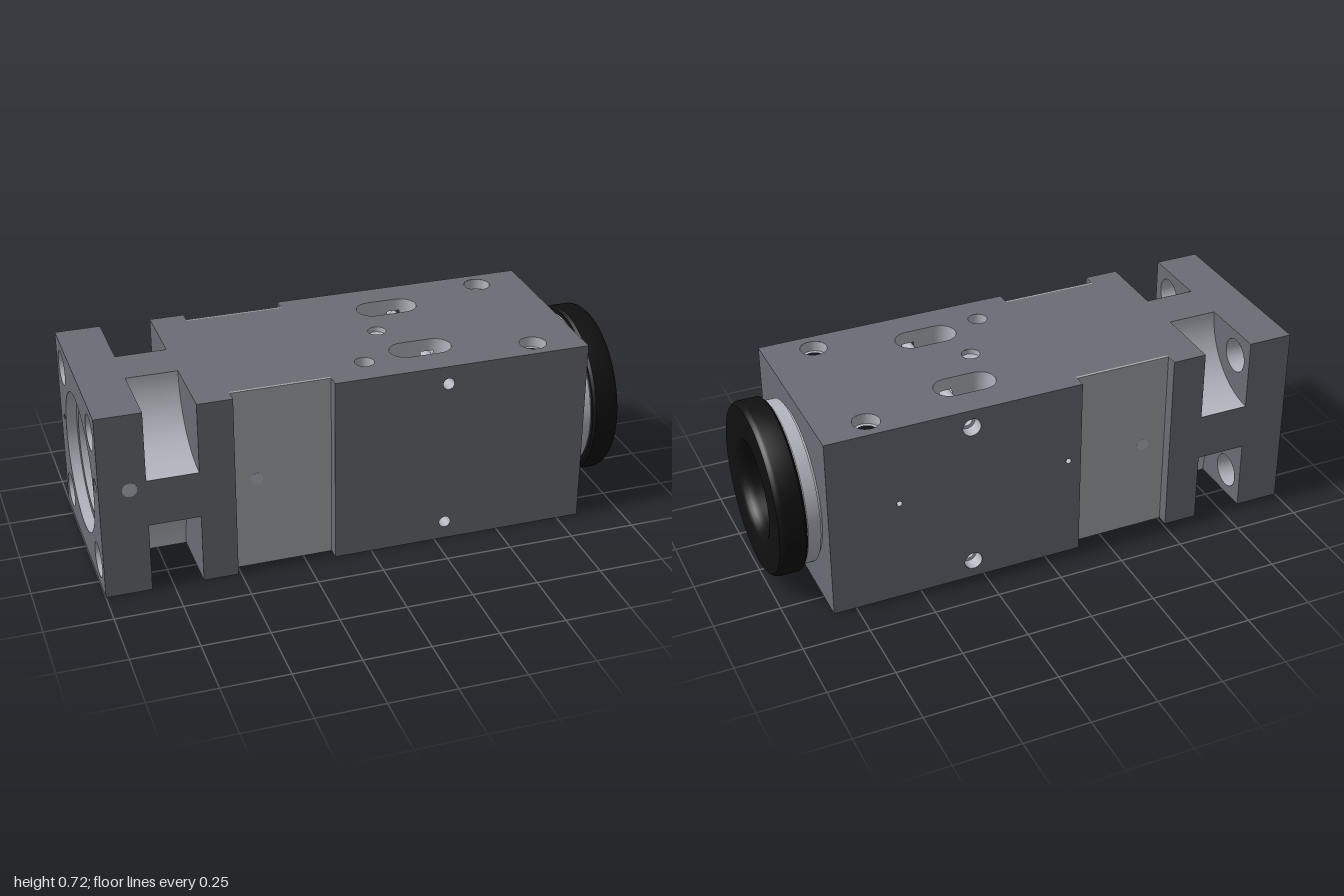
import * as THREE from 'three';
import { toCreasedNormals } from 'three/addons/utils/BufferGeometryUtils.js';

const H = 0.36, BORE = 0.225, FRONT = 0.835, STEP = -0.14;
const SLOT = { x: 0.2425, v: 0.185, r: 0.06, half: 0.0575 };
const CROSS = { x: 0.29, v: 0.29, r: 0.022 };

const mat = (color, side = THREE.FrontSide) => new THREE.MeshStandardMaterial({ color, side });
const dark = mat(0x6a6d75), darkThin = mat(0x6a6d75, THREE.DoubleSide);
const metal = mat(0xb4b7c0), metalThin = mat(0xb4b7c0, THREE.DoubleSide);
const pale = mat(0xa5abad), black = mat(0x101010), blackThin = mat(0x101010, THREE.DoubleSide);

function add(parent, name, geo, material) {
  const mesh = new THREE.Mesh(geo, material);
  mesh.name = name;
  parent.add(mesh);
  return mesh;
}

function rect(x0, x1, y0, y1) {
  return new THREE.Shape([[x0, y0], [x1, y0], [x1, y1], [x0, y1]].map(p => new THREE.Vector2(...p)));
}

function punch(shape, x, y, r) {
  shape.holes.push(new THREE.Path().absarc(x, y, r, 0, Math.PI * 2, true));
  return shape;
}

// Cross-section extruded along x
function slab(parent, name, shape, x0, x1) {
  const geo = new THREE.ExtrudeGeometry(shape, { depth: x1 - x0, bevelEnabled: false, curveSegments: 48 });
  geo.rotateY(Math.PI / 2).translate(x0, 0, 0);
  return add(parent, name, toCreasedNormals(geo, 0.5), dark);
}

// Open tube along x
function liner(parent, name, r, x0, x1, y = 0, z = 0) {
  const geo = new THREE.CylinderGeometry(r, r, x1 - x0, 48, 1, true).rotateZ(Math.PI / 2);
  add(parent, name, geo, metalThin).position.set((x0 + x1) / 2, y, z);
}

// Surface made of separate quads, each given by four corners
function quads(list) {
  const pos = [];
  for (const [a, b, c, d] of list) pos.push(...a, ...b, ...c, ...a, ...c, ...d);
  const geo = new THREE.BufferGeometry();
  geo.setAttribute('position', new THREE.Float32BufferAttribute(pos, 3));
  geo.computeVertexNormals();
  return toCreasedNormals(geo, 0.5);
}

// Rounded slot outline
function slotOutline(v) {
  const pts = [];
  for (const s of [1, -1]) {
    for (let i = 0; i <= 12; i++) {
      const a = -Math.PI / 2 + Math.PI * i / 12;
      pts.push(new THREE.Vector2(SLOT.x + s * (SLOT.half + SLOT.r * Math.cos(a)), v + s * SLOT.r * Math.sin(a)));
    }
    pts.push(new THREE.Vector2(0.268, v + s * SLOT.r));
  }
  return pts;
}

// Slot wall from the outer face down to the bore, open where the cross holes pass
function slotWall(v) {
  const pts = slotOutline(v), list = [];
  const levels = p => [H, 0.312, 0.268, Math.sqrt(Math.max(0, BORE * BORE - p.y * p.y))];
  pts.forEach((p, i) => {
    const q = pts[(i + 1) % pts.length], lp = levels(p), lq = levels(q);
    for (let k = 0; k < 3; k++) {
      if (k === 1 && Math.abs((p.x + q.x) / 2 - CROSS.x) < 0.024) continue;
      list.push([[p.x, p.y, lp[k]], [q.x, q.y, lq[k]], [q.x, q.y, lq[k + 1]], [p.x, p.y, lp[k + 1]]]);
    }
  });
  return quads(list);
}

// One long face of the main block. Holes are [x, v, radius, depth, inner radius, floor material]
function blockFace(parent, name, angle, holes, slotted) {
  const g = new THREE.Group();
  g.name = name;
  g.rotation.x = angle;
  parent.add(g);
  const shape = rect(STEP, FRONT, -H, H);
  for (const [x, v, r, depth, inner, floor] of holes) {
    punch(shape, x, v, r);
    const tube = (rad, z0, z1) => add(g, 'holeWall',
      new THREE.CylinderGeometry(rad, rad, z1 - z0, 32, 1, true).rotateX(Math.PI / 2),
      mat(0xb4b7c0, THREE.BackSide)).position.set(x, v, (z0 + z1) / 2);
    tube(r, H - depth, H);
    if (inner) add(g, 'holeLedge', new THREE.RingGeometry(inner, r, 32), metal).position.set(x, v, H - depth);
    if (floor) add(g, 'holeFloor', new THREE.CircleGeometry(inner || r, 32), floor).position.set(x, v, H - depth);
    else if (inner) tube(inner, 0, H - depth);
  }
  if (slotted) for (const s of [1, -1]) {
    shape.holes.push(new THREE.Path(slotOutline(s * SLOT.v)));
    add(g, 'slotWall', slotWall(s * SLOT.v), metalThin);
  }
  add(g, 'facePlate', new THREE.ShapeGeometry(shape, 32), dark).position.z = H;
}

// Bore of the main block, opened where the slots break into it
function mainBore() {
  const list = [], n = 144;
  const edge = i => {
    const t = i / n * Math.PI * 2, y = BORE * Math.cos(t), z = BORE * Math.sin(t);
    const d = SLOT.r ** 2 - (Math.abs(z) - SLOT.v) ** 2;
    return { y, z, h: d > 0 ? SLOT.half + Math.sqrt(d) : 0 };
  };
  for (let i = 0; i < n; i++) {
    const a = edge(i), b = edge(i + 1);
    for (const [end, s] of [[STEP, -1], [FRONT, 1]]) {
      const q = [[end, a.y, a.z], [SLOT.x + s * a.h, a.y, a.z], [SLOT.x + s * b.h, b.y, b.z], [end, b.y, b.z]];
      list.push(s < 0 ? q.reverse() : q);
    }
  }
  return quads(list);
}

// Turned part around the x axis, profile as [radius, x]
function lathe(parent, name, profile, material) {
  const geo = new THREE.LatheGeometry(profile.map(p => new THREE.Vector2(...p)), 96);
  add(parent, name, toCreasedNormals(geo.rotateZ(-Math.PI / 2), 0.6), material);
}

export function createModel() {
  const root = new THREE.Group();
  const body = new THREE.Group();
  body.name = 'cameraBody';
  body.position.y = H;
  root.add(body);

  // Mounting flange with counterbore and four bolt holes
  for (const [x0, x1, r] of [[-1, -0.96, 0.26], [-0.96, -0.83, BORE]]) {
    const shape = punch(rect(-H, H, -H, H), 0, 0, r);
    for (const y of [-0.26, 0.26]) for (const z of [-0.26, 0.26]) {
      punch(shape, z, y, 0.065);
      liner(body, 'boltHole', 0.0645, x0, x1, y, z);
    }
    if (x0 === -1) punch(punch(shape, -0.3, 0.07, 0.025), 0.29, 0.04, 0.01);
    slab(body, 'flange', shape, x0, x1);
  }
  liner(body, 'counterbore', 0.2595, -1, -0.96);
  liner(body, 'rearBore', BORE - 0.0005, -0.96, STEP);

  // Neck with four scooped corners
  const neck = new THREE.Shape();
  [[1, 1], [1, -1], [-1, -1], [-1, 1]].forEach(([u, v], k) => {
    const a = Math.PI - k * Math.PI / 2;
    neck.absarc(u * H, v * H, 0.27, a, a + Math.PI / 2, false);
    const list = [];
    for (let i = 0; i < 24; i++) {
      const [p, q] = [i, i + 1].map(j => {
        const t = a + j / 24 * Math.PI / 2;
        return [v * H + 0.269 * Math.sin(t), -u * H - 0.269 * Math.cos(t)];
      });
      list.push([[-0.83, ...q], [-0.64, ...q], [-0.64, ...p], [-0.83, ...p]]);
    }
    add(body, 'cornerScoop', quads(list), metalThin);
  });
  slab(body, 'neck', punch(neck, 0, 0, BORE), -0.83, -0.64);

  // Collar plate and waist with recessed side panels
  slab(body, 'collarPlate', punch(rect(-H, H, -H, H), 0, 0, BORE), -0.64, -0.51);
  slab(body, 'waist', punch(rect(-0.305, 0.305, -H, H), 0, 0, BORE), -0.51, STEP);
  for (const s of [1, -1]) {
    add(body, 'sidePanel', new THREE.BoxGeometry(0.37, 0.72, 0.01), pale).position.set(-0.325, 0, s * 0.31);
    add(body, 'panelPin', new THREE.CylinderGeometry(0.023, 0.023, 0.004, 32).rotateX(Math.PI / 2), metal)
      .position.set(-0.42, 0, s * 0.3135);
  }
  add(body, 'flangeScrew', new THREE.CylinderGeometry(0.027, 0.027, 0.004, 32).rotateX(Math.PI / 2), metal)
    .position.set(-0.89, 0.065, H - 0.0015);

  // Main block: four long faces, two ends and the bore
  const { x: cx, v: cv, r: cr } = CROSS;
  blockFace(body, 'topFace', -Math.PI / 2, [
    [0.65, 0.275, 0.05, 0.04, 0.038, black], [0.65, -0.275, 0.05, 0.04, 0.038, black],
    [0.013, -0.23, 0.036, 0.12, 0, black], [0.14, 0, 0.034, 0.02, 0, metal]], true);
  blockFace(body, 'bottomFace', Math.PI / 2, [
    [0.65, 0.275, 0.03, 0.05, 0, metal], [0.65, -0.275, 0.03, 0.05, 0, metal],
    [0.013, 0.23, 0.02, 0.05, 0, metal]], true);
  blockFace(body, 'frontFace', 0, [[cx, cv, cr, H], [cx, -cv, cr, H]]);
  blockFace(body, 'backFace', Math.PI, [
    [cx, cv, 0.034, 0.05, cr], [cx, -cv, 0.034, 0.05, cr],
    [0.57, -0.045, 0.01, 0.03, 0, metal], [-0.09, -0.045, 0.01, 0.03, 0, metal]]);
  for (const x of [STEP, FRONT]) {
    const geo = new THREE.ShapeGeometry(punch(rect(-H, H, -H, H), 0, 0, BORE), 48);
    add(body, 'blockEnd', geo.rotateY(x > 0 ? Math.PI / 2 : -Math.PI / 2), darkThin).position.x = x;
  }
  add(body, 'mainBore', mainBore(), metalThin);

  // Lens mount sleeve, and black end ring with its inner barrel
  lathe(body, 'mountSleeve', [[0.2, 0.83], [0.29, 0.83], [0.29, 0.842], [0.305, 0.845], [0.305, 0.892],
    [0.298, 0.9], [0.2, 0.9], [0.2, 0.83]], metalThin);
  lathe(body, 'endRing', [[0.18, 0.66], [0.18, 0.898], [0.315, 0.898], [0.325, 0.907], [0.325, 0.98],
    [0.322, 0.99], [0.313, 1], [0.197, 1], [0.188, 0.997], [0.177, 0.988], [0.168, 0.975],
    [0.162, 0.955], [0.162, 0.66], [0.18, 0.66]], blackThin);
  return root;
}
